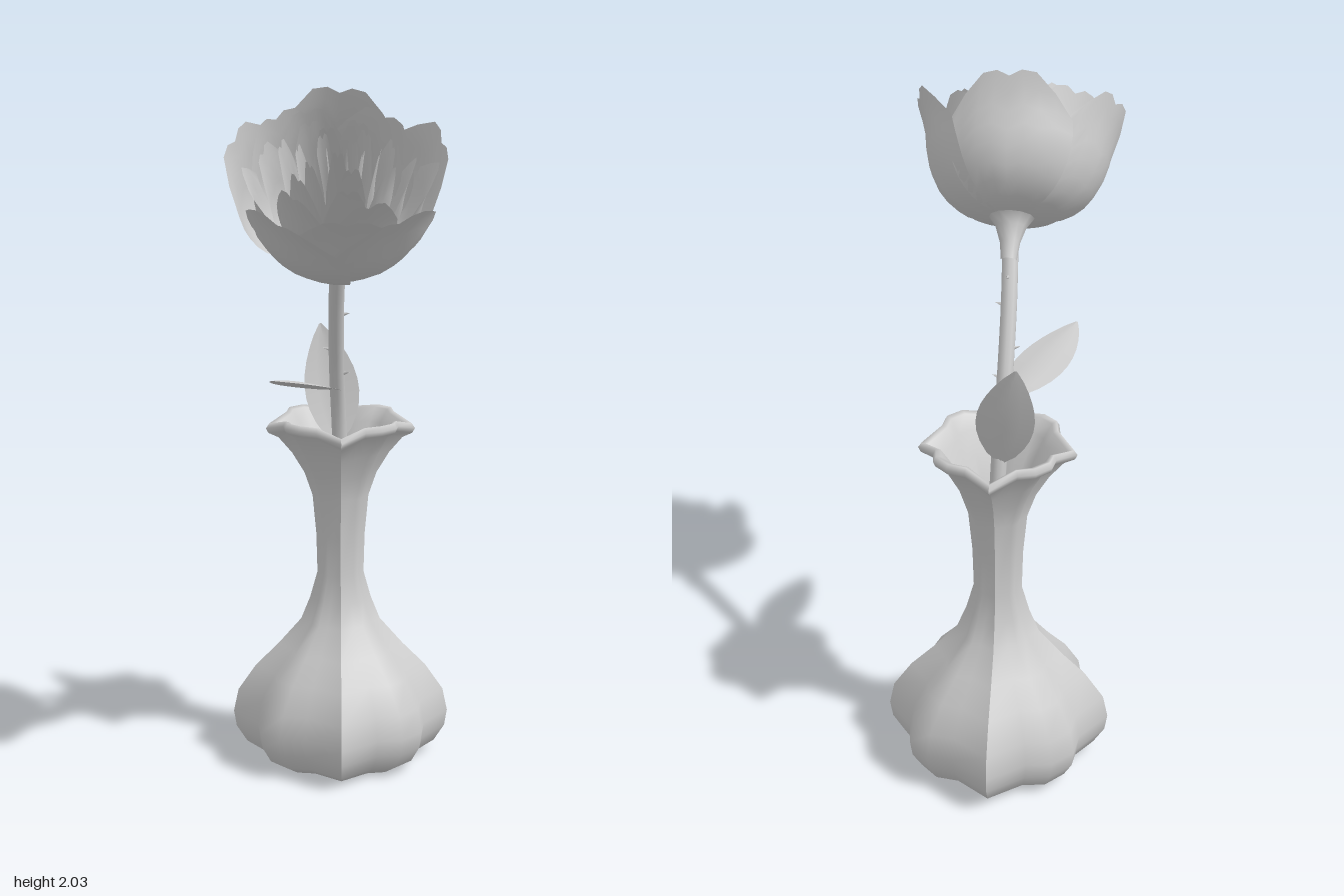
import * as THREE from 'three';

const grey = new THREE.MeshStandardMaterial({ color: 0xcccccc });
const thin = new THREE.MeshStandardMaterial({ color: 0xcccccc, side: THREE.DoubleSide });
const V = (x, y, z) => new THREE.Vector3(x, y, z);

let seed = 7;
const jitter = (amount) => {
  seed = (seed * 16807) % 2147483647;
  return (seed / 2147483647 - 0.5) * 2 * amount;
};

// Smooth surface from fn(column, row) -> Vector3
function grid(nu, nv, fn) {
  const pos = [], index = [];
  for (let j = 0; j <= nv; j++)
    for (let i = 0; i <= nu; i++) pos.push(...fn(i, j).toArray());
  for (let j = 0; j < nv; j++)
    for (let i = 0; i < nu; i++) {
      const a = j * (nu + 1) + i, b = a + 1, c = a + nu + 1, d = c + 1;
      index.push(a, b, d, a, d, c);
    }
  const g = new THREE.BufferGeometry();
  g.setAttribute('position', new THREE.Float32BufferAttribute(pos, 3));
  g.setIndex(index);
  g.computeVertexNormals();
  return g;
}

function add(parent, name, geometry, material = grey) {
  const mesh = new THREE.Mesh(geometry, material);
  mesh.name = name;
  parent.add(mesh);
  return mesh;
}

// Lobed vase: four identical quarters meeting at sharp ridges
function makeVase() {
  const vase = new THREE.Group();
  vase.name = 'vase';
  const profile = [
    [0, 0.02], [0.12, 0.012], [0.24, 0], [0.29, 0.03], [0.322, 0.08], [0.33, 0.13], [0.315, 0.2],
    [0.26, 0.28], [0.19, 0.35], [0.12, 0.43], [0.092, 0.5], [0.07, 0.58], [0.073, 0.7],
    [0.084, 0.82], [0.108, 0.89], [0.145, 0.96], [0.185, 1.02], [0.215, 1.035], [0.222, 1.05],
    [0.212, 1.065], [0.195, 1.06], [0.165, 1.02], [0.13, 0.96], [0.09, 0.89], [0.066, 0.82],
    [0.055, 0.7], [0.053, 0.58], [0.075, 0.48], [0, 0.44],
  ];
  const angles = [0, 23, 37, 53, 67, 90];
  const lobes = [1, 0.83, 0.915, 0.915, 0.83, 1];
  const droop = [0.025, 0.004, 0, 0, 0.004, 0.025]; // the rim dips at the ridges
  const quarter = grid(5, profile.length - 1, (i, j) => {
    const [r, y] = profile[j];
    const a = THREE.MathUtils.degToRad(angles[i]);
    const k = r * lobes[i];
    const dip = droop[i] * THREE.MathUtils.smoothstep(y, 0.9, 1.05);
    return V(k * Math.sin(a), y - dip, k * Math.cos(a));
  });
  for (let q = 0; q < 4; q++) add(vase, 'vaseQuarter', quarter).rotation.y = q * Math.PI / 2;
  vase.position.z = -0.205;
  return vase;
}

// Cupped petal: theta = direction, spread = half angle, rScale/height = size
function petal(theta, spread, rScale, height, curl) {
  const cup = new THREE.SplineCurve([
    [0.03, 0], [0.125, 0.04], [0.2, 0.2], [0.243, 0.46], [0.258, 0.74], [0.285, 1],
  ].map(([r, h]) => new THREE.Vector2(r, h)));
  return grid(8, 9, (i, j) => {
    const u = i / 4 - 1;
    const v = j / 9 * (1 - 0.3 * u ** 4 - 0.04 * Math.cos(u * 9));
    const p = cup.getPoint(v);
    const a = theta + u * spread * (1 - 0.35 * v ** 4);
    const r = p.x * rScale * (1 + curl * v * v * u * u + 0.04 * u * v);
    return V(r * Math.sin(a), p.y * height, r * Math.cos(a));
  });
}

function makeFlower() {
  const flower = new THREE.Group();
  flower.name = 'flower';
  const layers = [ // count, spread, radius, height, turn
    [5, 0.74, 1, 0.325, 0.63],
    [5, 0.72, 0.87, 0.315, 0.05],
    [6, 0.6, 0.7, 0.335, 0.4],
    [7, 0.5, 0.53, 0.35, 0.1],
    [6, 0.52, 0.37, 0.365, 0.3],
    [5, 0.6, 0.23, 0.37, 0],
    [3, 0.9, 0.11, 0.36, 0.5],
  ];
  layers.forEach(([count, spread, radius, height, turn], n) => {
    for (let k = 0; k < count; k++) {
      const theta = turn + k / count * Math.PI * 2 + jitter(0.06);
      const h = height * (1 + 0.07 * Math.cos(theta)) + jitter(n ? 0.015 : 0.005);
      const r = radius * (1 + jitter(0.03));
      add(flower, n ? 'innerPetal' : 'outerPetal', petal(theta, spread, r, h, n ? 0.05 : 0.08), thin);
    }
  });
  // Calyx flaring from the stem into the cup
  const calyx = [[0.022, -0.12], [0.028, -0.07], [0.043, -0.025], [0.065, 0.005], [0.1, 0.018], [0, 0.03]];
  add(flower, 'calyx', new THREE.LatheGeometry(calyx.map((p) => new THREE.Vector2(...p)), 12));
  flower.position.set(-0.01, 1.6, 0.08);
  flower.rotation.x = 0.72;
  return flower;
}

// Pointed leaf along a bowed line, folded slightly at the midrib
function leaf(base, tip, side, bow, width) {
  const mid = base.clone().lerp(tip, 0.5).add(bow);
  const curve = new THREE.QuadraticBezierCurve3(base, mid, tip);
  const across = side.clone().normalize();
  const up = across.clone().cross(tip.clone().sub(base)).normalize();
  return grid(4, 10, (i, j) => {
    const t = j / 10, u = i / 2 - 1;
    const w = width * Math.sin(Math.PI * t ** 0.85) ** 0.85 + 0.003;
    return curve.getPoint(t).addScaledVector(across, u * w).addScaledVector(up, Math.abs(u) * w * 0.15);
  });
}

export function createModel() {
  const model = new THREE.Group();
  model.name = 'flowerInVase';
  model.add(makeVase(), makeFlower());

  // Bent stem
  const path = new THREE.CatmullRomCurve3([
    V(0.01, 0.46, -0.205), V(0.005, 0.8, -0.205), V(-0.005, 1.05, -0.175), V(-0.012, 1.22, -0.115),
    V(-0.014, 1.4, -0.03), V(-0.011, 1.52, 0.035), V(-0.01, 1.6, 0.08),
  ]);
  add(model, 'stem', new THREE.TubeGeometry(path, 28, 0.023, 10));

  // Thorns
  [[0.63, 1.2], [0.7, -1.4], [0.8, 1.5], [0.87, 3]].forEach(([t, a]) => {
    const out = V(Math.sin(a), 0.2, Math.cos(a)).normalize();
    const thorn = add(model, 'thorn', new THREE.ConeGeometry(0.007, 0.025, 5));
    thorn.position.copy(path.getPointAt(t)).addScaledVector(out, 0.028);
    thorn.quaternion.setFromUnitVectors(V(0, 1, 0), out);
  });

  // Leaves
  add(model, 'frontLeaf', leaf(V(-0.012, 1.155, -0.135), V(-0.19, 1.245, 0.19),
    V(0.85, 0.05, 0.45), V(-0.02, 0.02, 0), 0.072), thin);
  add(model, 'backLeaf', leaf(V(-0.005, 0.98, -0.2), V(-0.06, 1.325, -0.305),
    V(1, 0.17, 0), V(0.01, 0, -0.02), 0.078), thin);
  return model;
}
